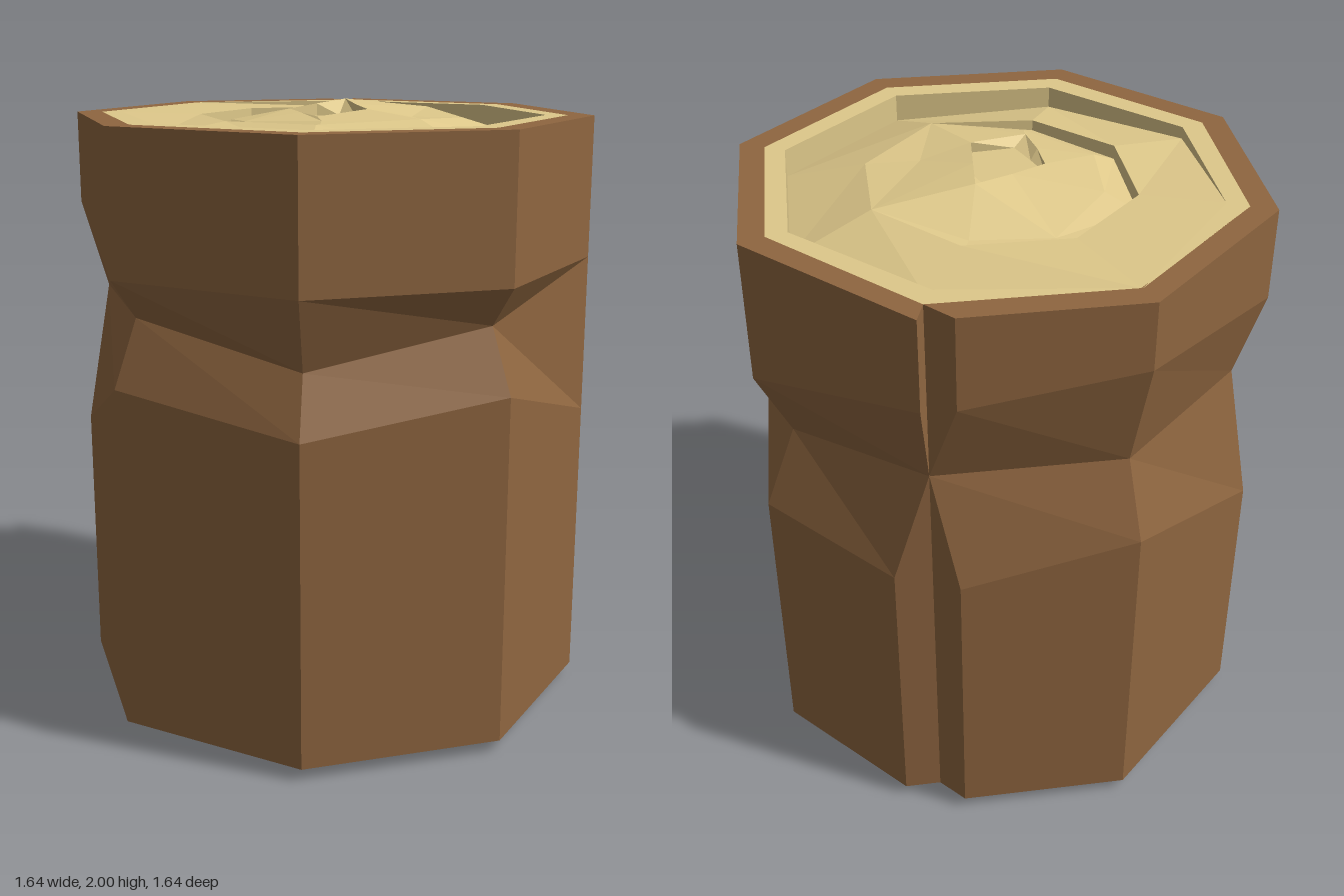
import * as THREE from 'three';

const TOP = 1.96, BASE = 0.04;
const bark = new THREE.MeshStandardMaterial({ color: 0x8f6640, flatShading: true });
const wood = new THREE.MeshStandardMaterial({ color: 0xdec88a, flatShading: true });

// Octagonal plan, slightly turned: corner k, counted from the front towards the right
const corner = (k, r = 0.855) => {
  const a = 0.285 + k * Math.PI / 4;
  return [Math.sin(a) * r, Math.cos(a) * r];
};

// Joins two matching closed or open rows of points with triangles facing outward
function strip(out, lower, upper, closed = true, altDiagonals = []) {
  const n = lower.length;
  for (let i = 0; i < (closed ? n : n - 1); i++) {
    const j = (i + 1) % n;
    const a = lower[i], b = lower[j], c = upper[j], d = upper[i];
    const tris = altDiagonals.includes(i) ? [[a, b, c], [a, c, d]] : [[a, b, d], [b, c, d]];
    for (const t of tris) {
      const [p, q, r] = t.map((v) => new THREE.Vector3(...v));
      const area = q.clone().sub(p).cross(r.clone().sub(p)).length();
      if (area > 1e-6) out.push(...t.flat());
    }
  }
}

function makeMesh(name, positions, material) {
  const g = new THREE.BufferGeometry();
  g.setAttribute('position', new THREE.Float32BufferAttribute(positions, 3));
  g.computeVertexNormals();
  const m = new THREE.Mesh(g, material);
  m.name = name;
  return m;
}

// Flips a triangle list upside down and keeps its faces outward
function mirrorY(pos) {
  const out = [];
  for (let i = 0; i < pos.length; i += 9) {
    for (const k of [0, 2, 1]) {
      out.push(pos[i + k * 3], 2 - pos[i + k * 3 + 1], pos[i + k * 3 + 2]);
    }
  }
  return out;
}

// Bark columns: base point, lower / waist / upper heights, waist point, top point
const notch = [-0.22, -0.745];
const column = (k, lo, mid, up, pinch = 0.77) =>
  ({ base: corner(k), lo, mid, up, waist: corner(k, pinch), top: corner(k), inner: corner(k, 0.77) });
const crackColumn = (base, top) =>
  ({ base, lo: 1.0, mid: 1.38, up: 1.66, waist: notch, top, inner: notch });
const columns = [
  column(0, 1.08, 1.27, 1.5),
  column(1, 1.17, 1.375, 1.5),
  column(2, 0.98, 1.5, 1.5, 0.855),
  column(3, 1.01, 1.27, 1.5, 0.745),
  crackColumn([-0.13, -0.82], [-0.25, -0.82]),
  crackColumn(notch, notch),
  crackColumn([-0.33, -0.76], [-0.33, -0.76]),
  column(5, 1.12, 1.38, 1.74),
  column(6, 0.9, 1.375, 1.66),
  column(7, 1.16, 1.375, 1.5),
];

function buildBark() {
  const at = (key, y) => columns.map((c) => {
    const [x, z] = c[key];
    return [x, typeof y === 'string' ? c[y] : y, z];
  });
  const rows = [
    at('inner', BASE), at('base', BASE), at('base', 'lo'), at('waist', 'mid'),
    at('top', 'up'), at('top', TOP), at('inner', TOP),
  ];
  const pos = [];
  for (let r = 0; r < rows.length - 1; r++) {
    strip(pos, rows[r], rows[r + 1], true, r === 2 ? [2] : []);
  }
  return pos;
}

// Cut end: growth rings as stepped spirals, each row is 8 points of x, z, y
function buildCutEnd() {
  const rim = [0, 1, 2, 3, 4, 5, 6, 7].map((k) => {
    const [x, z] = k === 4 ? notch : corner(k, 0.77);
    return [x, TOP, z];
  });
  const row = (plan, heights) => plan.map(([x, z], i) => [x, heights[i], z]);

  const outer = [[0.2, 0.66], [0.61, 0.33], [0.67, -0.2], [0.33, -0.62],
    [-0.2, -0.67], [-0.68, -0.37], [-0.67, 0.2], [-0.33, 0.61]];
  const middle = [[0.12, 0.41], [0.38, 0.2], [0.41, -0.13], [0.2, -0.39],
    [-0.13, -0.42], [-0.39, -0.21], [-0.42, 0.12], [-0.2, 0.38]];
  const inner = [[0.1, 0.32], [0.38, 0.2], [0.27, -0.03], [0.2, -0.39],
    [-0.1, -0.33], [-0.3, -0.17], [-0.31, 0.11], [-0.17, 0.3]];
  const lip = [[0.07, 0.28], [0.17, 0.11], [0.08, -0.02], [-0.01, -0.15],
    [-0.01, -0.15], [-0.06, -0.02], [-0.1, 0.11], [-0.02, 0.2]];
  const pit = [[0.07, 0.21], [0.17, 0.11], [0.08, -0.02], [0, -0.07],
    [0, -0.07], [-0.06, -0.02], [-0.1, 0.11], [-0.02, 0.16]];

  const rows = [
    rim,
    row(outer, Array(8).fill(TOP)),
    row(outer, [1.89, 1.87, 1.87, 1.88, 1.9, 1.96, 1.96, 1.92]),
    row(middle, [1.955, 1.965, 1.95, 1.965, 1.955, 1.955, 1.955, 1.955]),
    row(middle, [1.92, 1.965, 1.95, 1.965, 1.91, 1.9, 1.9, 1.91]),
    row(inner, [1.96, 1.965, 1.955, 1.965, 1.92, 1.91, 1.94, 1.95]),
    row(lip, [1.97, 1.985, 1.99, 2, 2, 1.99, 1.98, 1.975]),
    row(pit, Array(8).fill(1.95)),
  ];
  const pos = [];
  for (let r = 0; r < rows.length - 1; r++) strip(pos, rows[r], rows[r + 1]);
  // Floor of the central pit
  strip(pos, rows[rows.length - 1], Array(8).fill([0.03, 1.95, 0.08]));
  return pos;
}

export function createModel() {
  const model = new THREE.Group();
  model.name = 'log';
  const end = buildCutEnd();
  model.add(
    makeMesh('bark', buildBark(), bark),
    makeMesh('topCut', end, wood),
    makeMesh('bottomCut', mirrorY(end), bark),
  );
  return model;
}
